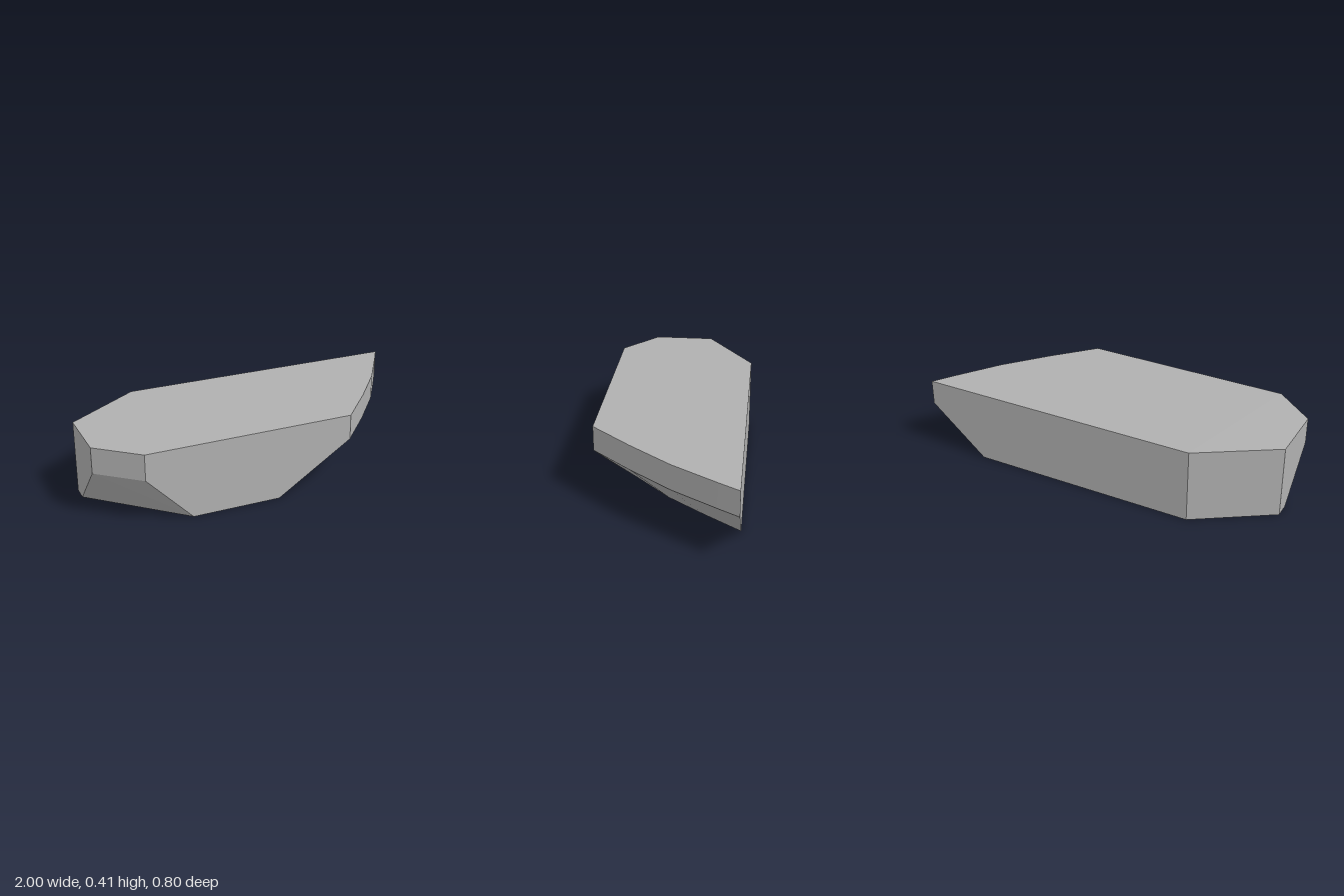
import * as THREE from 'three';

export function createModel() {
  const group = new THREE.Group();
  const stone = new THREE.MeshStandardMaterial({ color: 0xb0b0b0 });
  stone.name = 'plain grey';
  stone.flatShading = true;

  // Outlines run clockwise seen from above, starting at the back left corner: [x, y, z]
  const rim = [
    [-0.59, 0.41, -0.4], [1, 0.41, -0.4], [0.93, 0.41, -0.29], [0.77, 0.41, -0.05],
    [0.58, 0.41, 0.18], [0.38, 0.41, 0.4], [-0.78, 0.405, 0.4], [-1, 0.405, 0.21], [-1, 0.405, -0.13],
  ];
  // Height where the vertical rim band turns into the sloping underside
  const bandHeight = [0.27, 0.27, 0.27, 0.27, 0.27, 0.27, 0.26, 0.26, 0.26];
  const band = rim.map(([x, , z], i) => [x, bandHeight[i], z]);
  const base = [
    [-0.59, 0, -0.4], [0.68, 0, -0.4], [0.53, 0, -0.2], [0.37, 0, 0],
    [0.16, 0, 0.2], [-0.04, 0, 0.4], [-0.53, 0, 0.4], [-1, 0, -0.045], [-1, 0, -0.13],
  ];
  // The curved side's base has the same five stations as the rim
  base.splice(1, 5, [0.68, 0, -0.4], [0.53, 0, -0.2], [0.37, 0, 0], [0.16, 0, 0.2], [-0.04, 0, 0.4]);

  const positions = [];
  const triangle = (a, b, c) => positions.push(...a, ...b, ...c);
  const count = rim.length;

  // Side walls between neighbouring outlines
  for (const [low, high] of [[base, band], [band, rim]]) {
    for (let i = 0; i < count; i++) {
      const j = (i + 1) % count;
      triangle(low[j], low[i], high[j]);
      triangle(low[i], high[i], high[j]);
    }
  }
  // Flat top and bottom
  for (let i = 1; i < count - 1; i++) {
    triangle(rim[0], rim[i + 1], rim[i]);
    triangle(base[0], base[i], base[i + 1]);
  }

  const geometry = new THREE.BufferGeometry();
  geometry.setAttribute('position', new THREE.Float32BufferAttribute(positions, 3));
  geometry.computeVertexNormals();

  const slab = new THREE.Mesh(geometry, stone);
  slab.name = 'bevelledSlab';
  group.add(slab);
  return group;
}
